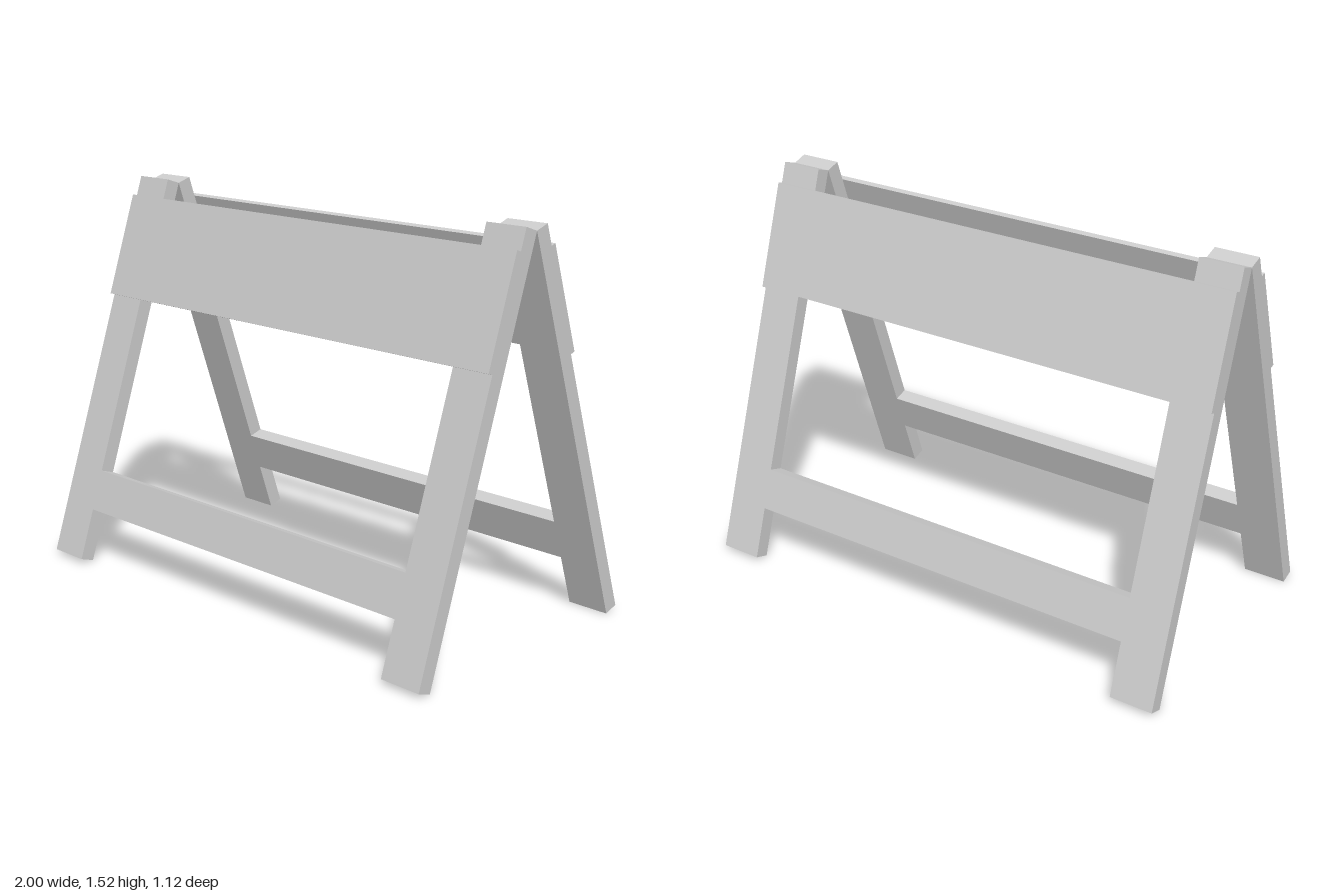
import * as THREE from 'three';

const TILT = Math.atan2(0.317, 0.948); // lean of each side frame
const APEX = 1.5;                      // height of the hinge line
const LEG = 1.582, DEPTH = 0.06;       // leg length and timber thickness
const OUT = 1, IN = 0.83;              // outer and inner x of the legs
const RAIL_TOP = 1.212, RAIL_BOTTOM = 1.374; // distances down the leg

const material = new THREE.MeshStandardMaterial({ color: 0xcccccc, flatShading: true });

// One leaning side: H-shaped frame with a sign board on its outer face
function createSide(name) {
  const side = new THREE.Group();
  side.name = name;

  // Two legs and the low cross rail as a single outline
  const outline = [
    [-OUT, 0], [-OUT, -LEG], [-IN, -LEG], [-IN, -RAIL_BOTTOM],
    [IN, -RAIL_BOTTOM], [IN, -LEG], [OUT, -LEG], [OUT, 0],
    [IN, 0], [IN, -RAIL_TOP], [-IN, -RAIL_TOP], [-IN, 0],
  ].map(([x, y]) => new THREE.Vector2(x, y));
  const frame = new THREE.Mesh(
    new THREE.ExtrudeGeometry(new THREE.Shape(outline), { depth: DEPTH, bevelEnabled: false }),
    material
  );
  frame.name = 'legFrame';

  // Thin board across the top of the legs
  const top = 0.083, bottom = 0.5, thickness = 0.021;
  const board = new THREE.Mesh(new THREE.BoxGeometry(2 * OUT, bottom - top, thickness), material);
  board.position.set(0, -(top + bottom) / 2, DEPTH + thickness / 2);
  board.name = 'signBoard';

  const leaning = new THREE.Group();
  leaning.name = 'leaningFrame';
  leaning.position.y = APEX;
  leaning.rotation.x = -TILT;
  leaning.add(frame, board);
  side.add(leaning);
  return side;
}

export function createModel() {
  const model = new THREE.Group();
  model.name = 'foldingBarricade';
  const front = createSide('frontSide');
  const back = createSide('backSide');
  back.rotation.y = Math.PI;
  model.add(front, back);
  return model;
}
